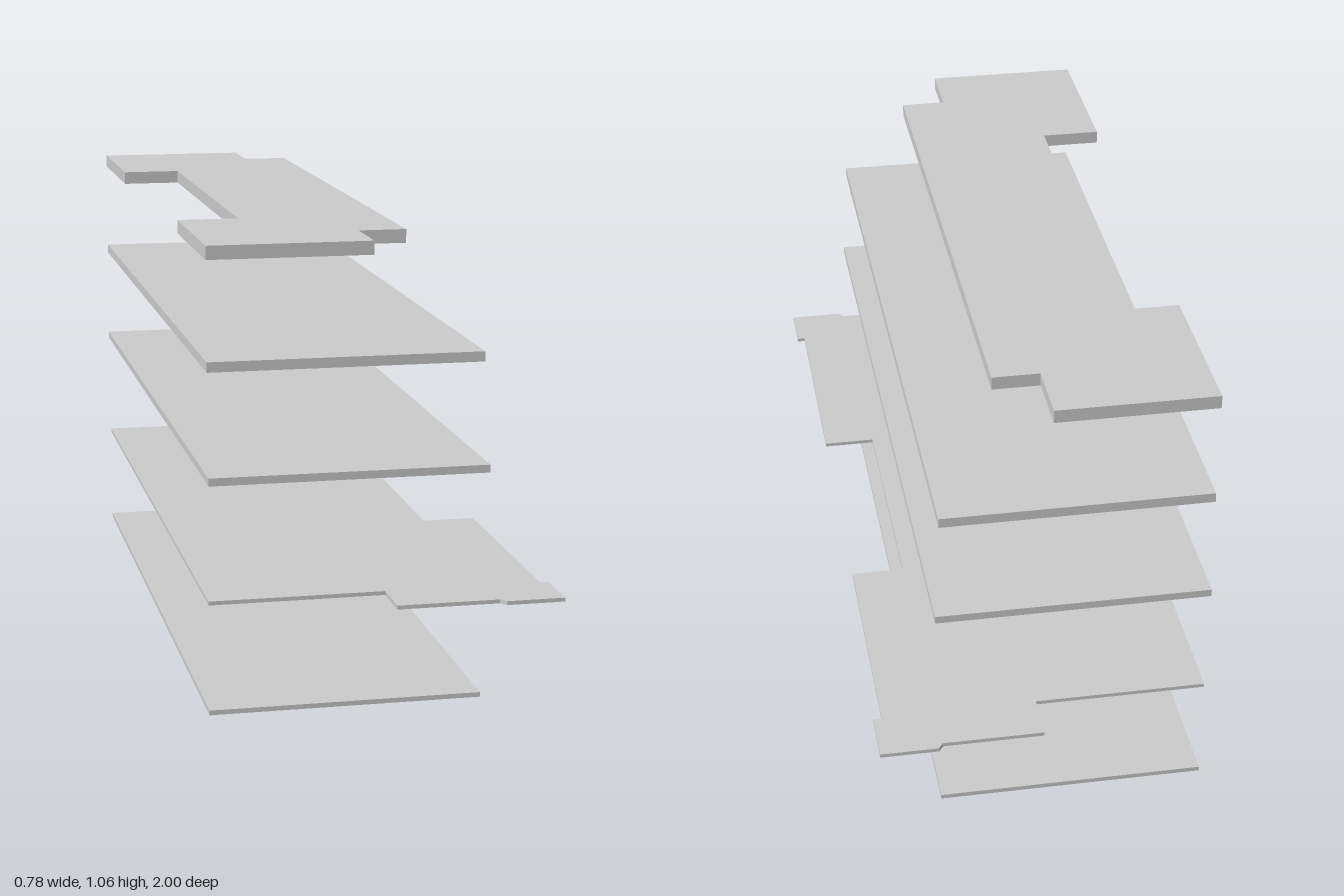
import * as THREE from 'three';

const material = new THREE.MeshStandardMaterial({ color: 0xcccccc, flatShading: true });

// Flat plate between two heights. The half outline lists [x, z] for z >= 0
// and is mirrored to the other side.
function plate(name, bottom, top, half) {
  const mirrored = half.map(([x, z]) => [x, -z]).reverse();
  const shape = new THREE.Shape([...half, ...mirrored].map(([x, z]) => new THREE.Vector2(x, -z)));
  const geometry = new THREE.ExtrudeGeometry(shape, { depth: top - bottom, bevelEnabled: false });
  geometry.rotateX(-Math.PI / 2);
  geometry.translate(0, bottom, 0);
  const mesh = new THREE.Mesh(geometry, material);
  mesh.name = name;
  return mesh;
}

export function createModel() {
  const group = new THREE.Group();
  group.name = 'stackedFloorPlates';
  const back = -0.392; // shared straight edge of all plates

  group.add(
    plate('basePlate', 0, 0.011, [[back, 0.871], [0.234, 0.871]]),

    // Wide plate with stepped wings and a recess between them
    plate('wingedPlate', 0.256, 0.265, [
      [back, 0.871], [0.01, 0.871], [0.01, 0.984], [0.245, 0.984], [0.257, 1],
      [0.391, 1], [0.391, 0.874], [0.371, 0.874], [0.371, 0.303], [0.244, 0.303],
    ]),

    plate('middlePlate', 0.531, 0.549, [[back, 0.885], [0.246, 0.885]]),
    plate('upperPlate', 0.782, 0.805, [[back, 0.871], [0.234, 0.871]]),

    // Top plate with a recess on one side and cut corners on the other
    plate('topPlate', 1.029, 1.06, [
      [-0.25, 0.467], [back, 0.467], [back, 0.871],
      [-0.02, 0.871], [-0.02, 0.714], [0.09, 0.714],
    ]),
  );
  return group;
}
